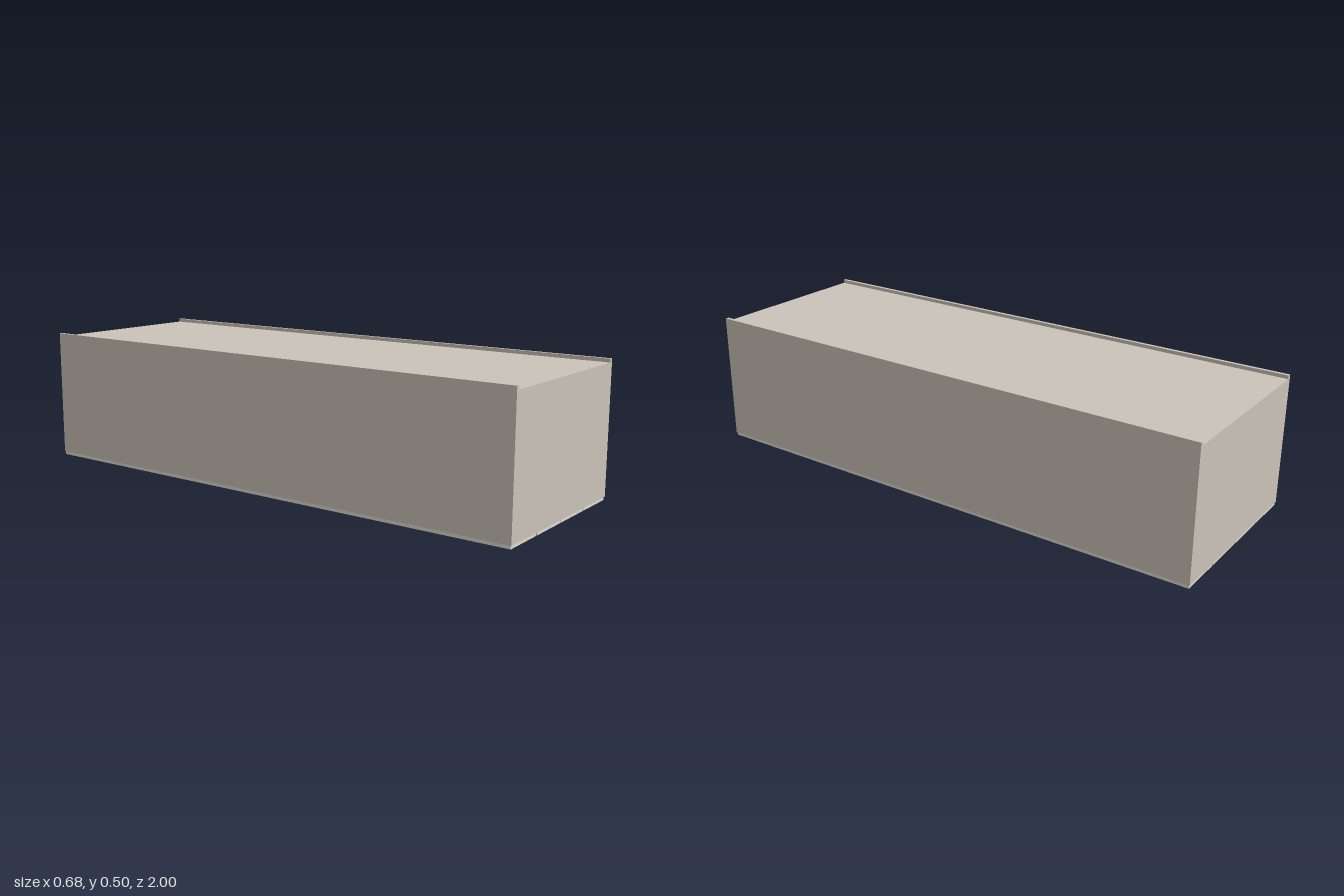
import * as THREE from 'three';

const bodyMaterial = new THREE.MeshStandardMaterial({ color: 0xcbc3b8 });
const doorMaterial = new THREE.MeshStandardMaterial({ color: 0xdcdad0 });
const handleMaterial = new THREE.MeshStandardMaterial({ color: 0x7c8286 });

function box(name, material, size, position) {
  const mesh = new THREE.Mesh(new THREE.BoxGeometry(...size), material);
  mesh.name = name;
  mesh.position.set(...position);
  return mesh;
}

export function createModel() {
  const model = new THREE.Group();
  model.name = 'wardrobe';

  // Carcass lying on its doors; the side panels rise past the recessed back
  const halfWidth = 0.341, lip = 0.013, bottom = 0.025, panel = 0.49, top = 0.503;
  const profile = new THREE.Shape([
    [-halfWidth, bottom], [halfWidth, bottom], [halfWidth, top], [halfWidth - lip, top],
    [halfWidth - lip, panel], [-halfWidth + lip, panel], [-halfWidth + lip, top], [-halfWidth, top],
  ].map(([x, y]) => new THREE.Vector2(x, y)));
  const carcassGeometry = new THREE.ExtrudeGeometry(profile, { depth: 2, bevelEnabled: false });
  carcassGeometry.translate(0, 0, -1);
  const carcass = new THREE.Mesh(carcassGeometry, bodyMaterial);
  carcass.name = 'carcass';
  model.add(carcass);

  // Four long doors on the underside, each with a short handle near the front
  const pitch = 0.1705;
  for (let i = 0; i < 4; i++) {
    const x = (i - 1.5) * pitch;
    const door = new THREE.Group();
    door.name = `door${i + 1}`;
    door.add(
      box('doorPanel', doorMaterial, [0.166, 0.012, 1.994], [x, 0.019, 0]),
      box('handle', handleMaterial, [0.081, 0.013, 0.013], [x, 0.0065, 0.935]),
    );
    model.add(door);
  }
  return model;
}
